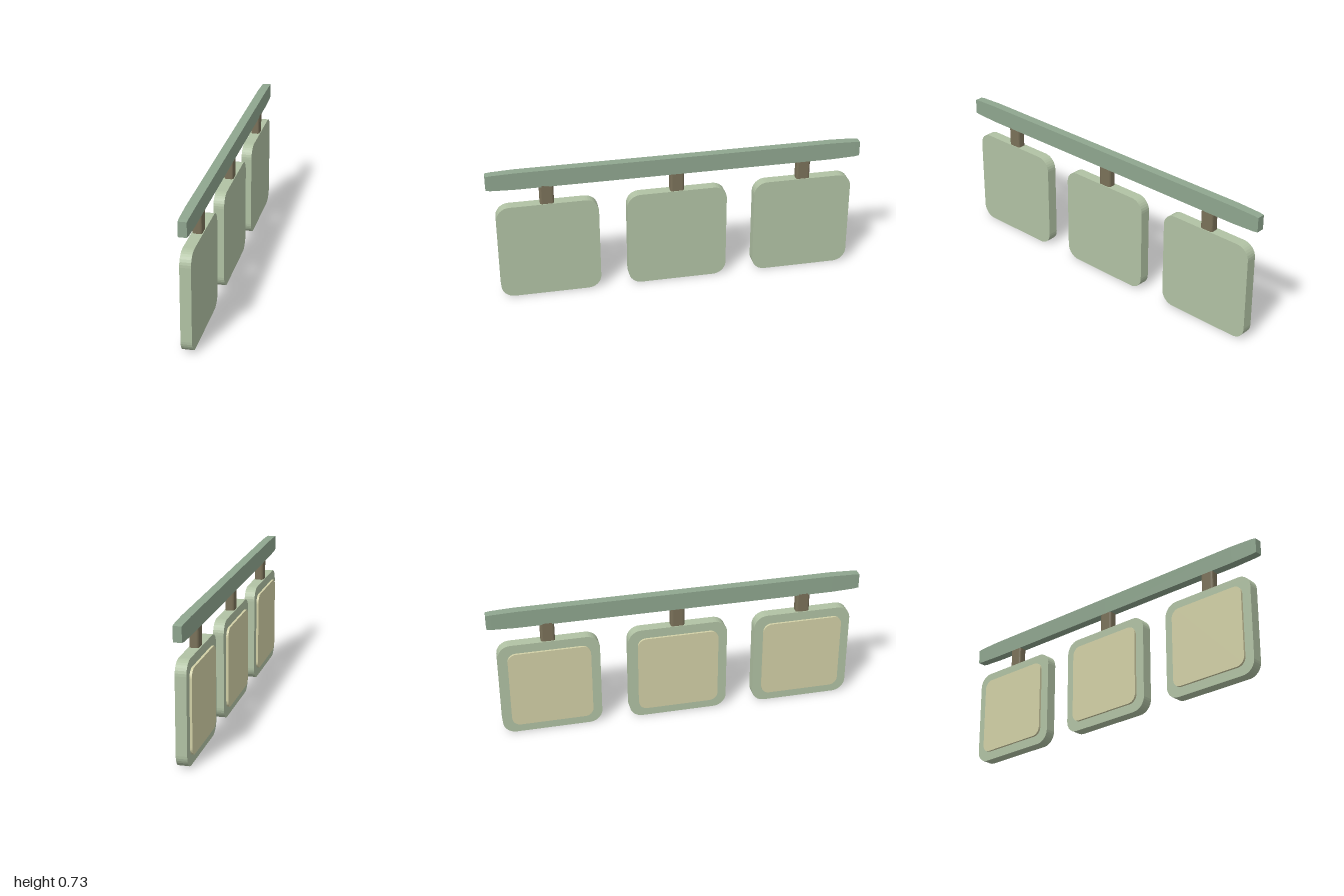
import * as THREE from 'three';

const material = (color) => new THREE.MeshStandardMaterial({ color, flatShading: true });
const barMat = material(0x8fa68f);
const panelMat = material(0xb1c2a4);
const insetMat = material(0xd2d0a6);
const postMat = material(0x7a7159);

// Rounded rectangle centred on the origin
function roundedRect(w, h, r) {
  const s = new THREE.Shape();
  const corners = [[1, 1, 0], [-1, 1, 1], [-1, -1, 2], [1, -1, 3]];
  for (const [sx, sy, q] of corners) {
    s.absarc(sx * (w / 2 - r), sy * (h / 2 - r), r, q * Math.PI / 2, (q + 1) * Math.PI / 2, false);
  }
  s.closePath();
  return s;
}

// Upright slab facing sideways, from x0 to x1
function slab(name, w, h, r, x0, x1, y, mat) {
  const geo = new THREE.ExtrudeGeometry(roundedRect(w, h, r), {
    depth: x1 - x0, bevelEnabled: false, curveSegments: 4,
  });
  geo.rotateY(Math.PI / 2);
  const mesh = new THREE.Mesh(geo, mat);
  mesh.name = name;
  mesh.position.set(x0, y, 0);
  return mesh;
}

// Long bar whose ends narrow slightly
function createBar() {
  const geo = new THREE.BoxGeometry(0.048, 0.094, 2, 1, 1, 6);
  const stations = [-1, -0.975, -0.85, 0, 0.85, 0.975, 1];
  const scaleY = [0.84, 0.91, 1, 1, 1, 0.91, 0.84];
  const scaleX = [0.9, 0.95, 1, 1, 1, 0.95, 0.9];
  const p = geo.attributes.position;
  for (let i = 0; i < p.count; i++) {
    const k = Math.round((p.getZ(i) + 1) * 3);
    p.setXYZ(i, p.getX(i) * scaleX[k], p.getY(i) * scaleY[k], stations[k]);
  }
  geo.computeVertexNormals();
  const bar = new THREE.Mesh(geo, barMat);
  bar.name = 'topBar';
  bar.position.set(0.006, 0.685, 0);
  return bar;
}

// Short post with softened corners, between panel and bar
function createPost() {
  const geo = new THREE.ExtrudeGeometry(roundedRect(0.048, 0.074, 0.012), {
    depth: 0.11, bevelEnabled: false, curveSegments: 2,
  });
  geo.rotateX(-Math.PI / 2);
  const post = new THREE.Mesh(geo, postMat);
  post.name = 'post';
  post.position.set(0.006, 0.534, 0);
  return post;
}

export function createModel() {
  const model = new THREE.Group();
  model.name = 'hangingPanels';
  model.add(createBar());

  // Three hanging panels, each with a raised plate on one face
  for (const z of [-0.69, 0, 0.69]) {
    const unit = new THREE.Group();
    unit.name = 'panelUnit';
    unit.add(
      slab('panel', 0.538, 0.538, 0.07, -0.023, 0.034, 0.269, panelMat),
      slab('raisedPlate', 0.438, 0.438, 0.045, -0.035, -0.022, 0.269, insetMat),
      createPost(),
    );
    unit.position.z = z;
    model.add(unit);
  }
  return model;
}
